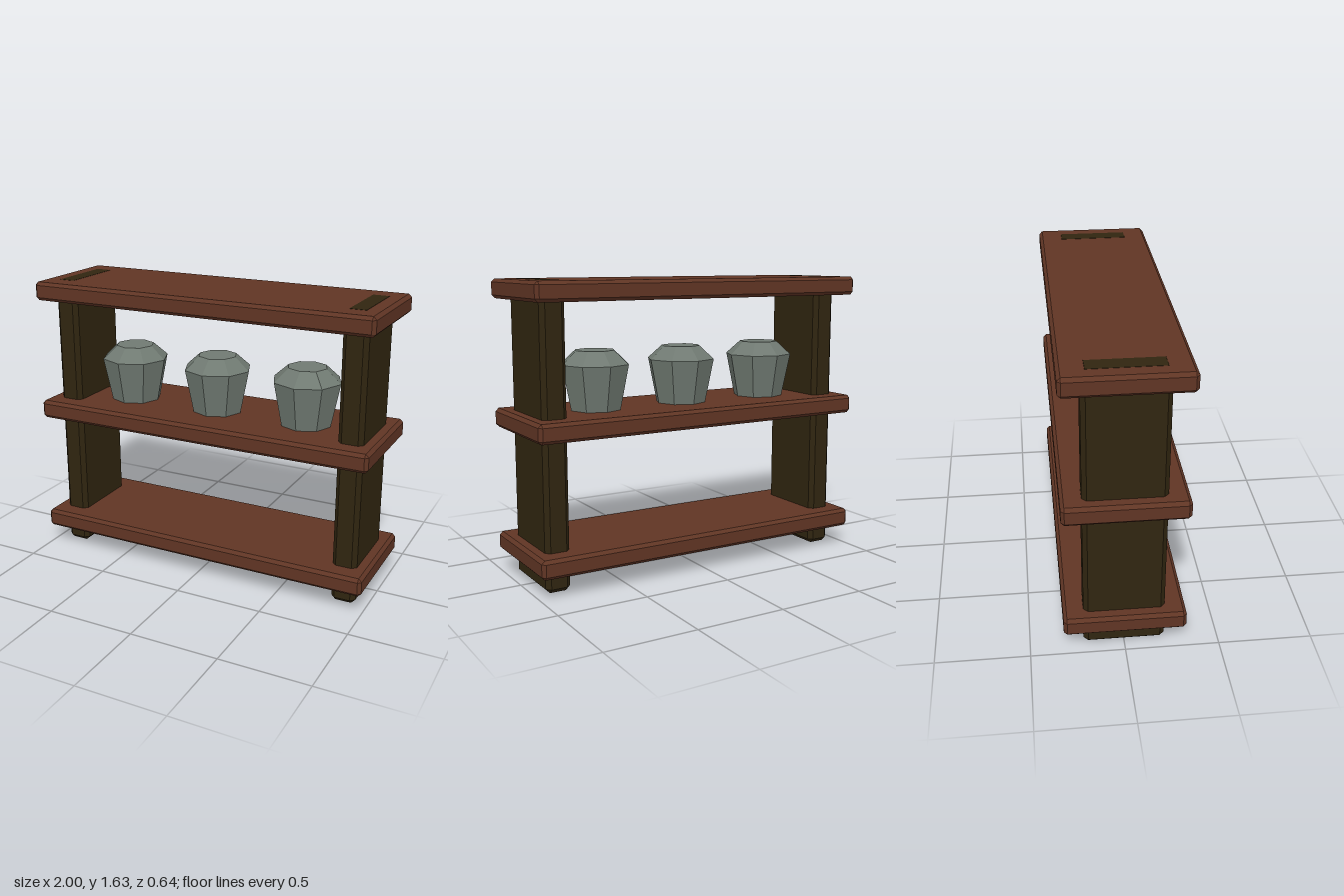
import * as THREE from 'three';
import { ConvexGeometry } from 'three/addons/geometries/ConvexGeometry.js';

const material = (name, color) => {
  const m = new THREE.MeshStandardMaterial({ color, flatShading: true });
  m.name = name;
  return m;
};

// Box with every edge cut at 45 degrees: three corner points per box corner
function chamferedBox(w, h, d, c) {
  const points = [];
  const half = [w / 2, h / 2, d / 2];
  for (const sx of [-1, 1]) for (const sy of [-1, 1]) for (const sz of [-1, 1]) {
    const s = [sx, sy, sz];
    for (let face = 0; face < 3; face++) {
      points.push(new THREE.Vector3(...half.map((v, i) => s[i] * (i === face ? v : v - c))));
    }
  }
  return new ConvexGeometry(points);
}

export function createModel() {
  const model = new THREE.Group();
  model.name = 'shelfUnit';

  const shelfWood = material('redBrownWood', 0x603524);
  const postWood = material('darkWood', 0x302510);
  const clay = material('greyGreenClay', 0x707a72);

  const add = (name, geometry, mat, x, y, z = 0) => {
    const mesh = new THREE.Mesh(geometry, mat);
    mesh.name = name;
    mesh.position.set(x, y, z);
    model.add(mesh);
  };

  // Three equal boards
  const board = chamferedBox(2, 0.105, 0.644, 0.018);
  ['bottomShelf', 'middleShelf', 'topShelf'].forEach((name, i) =>
    add(name, board, shelfWood, 0, 0.168 + i * 0.702, 0));

  // Side posts pass through the boards and show in the top surface
  const post = chamferedBox(0.138, 1.6255, 0.43, 0.024);
  add('leftPost', post, postWood, 0.866, 0.81275);
  add('rightPost', post, postWood, -0.866, 0.81275);

  // Eight-sided pots with a sloping shoulder
  const profile = [[0, 0], [0.143, 0], [0.193, 0.25], [0.11, 0.325], [0, 0.325]]
    .map(([r, y]) => new THREE.Vector2(r, y));
  const pot = new THREE.LatheGeometry(profile, 8);
  ['rightPot', 'middlePot', 'leftPot'].forEach((name, i) =>
    add(name, pot, clay, (i - 1) * 0.54, 0.92));

  return model;
}
